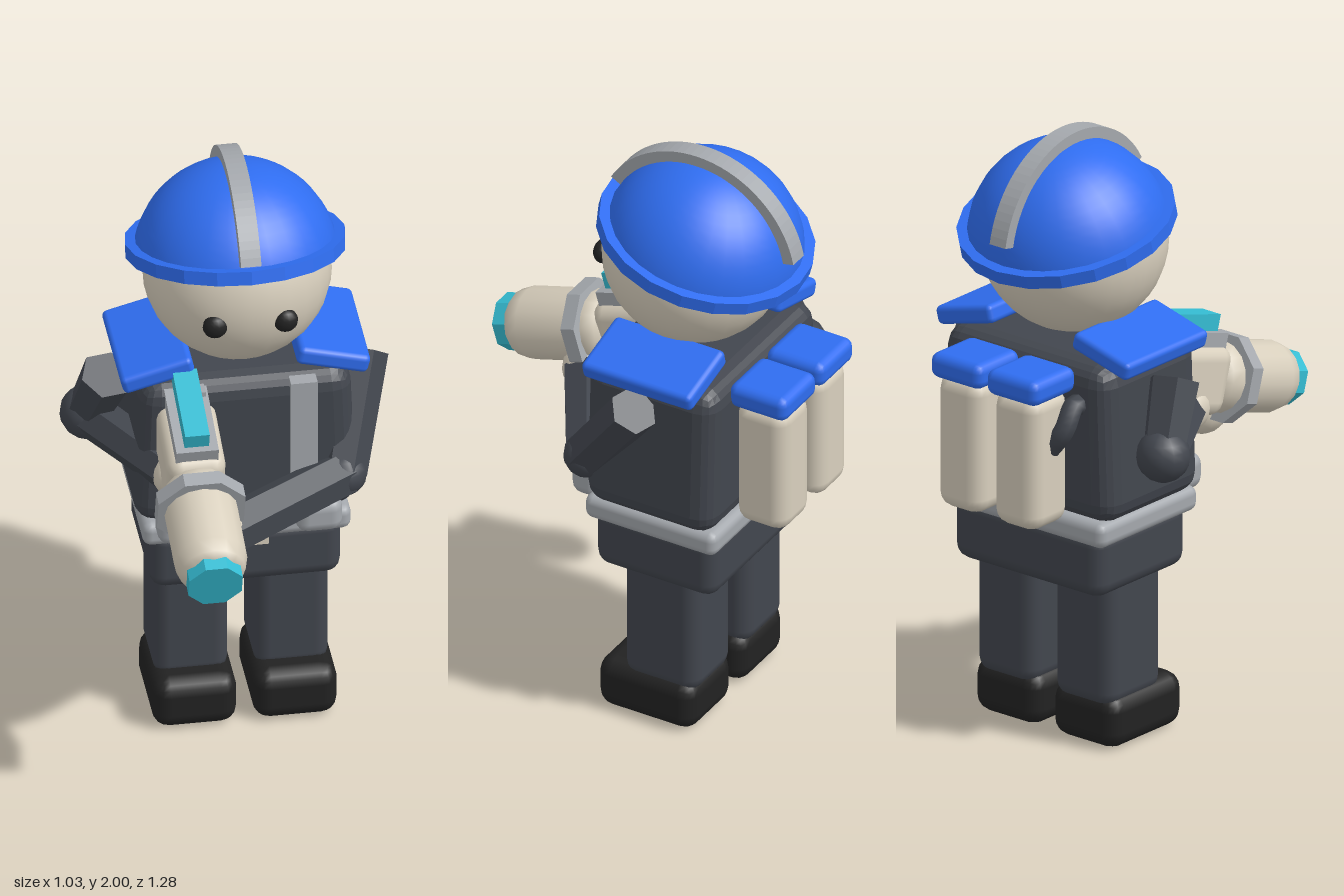
import * as THREE from 'three';
import { RoundedBoxGeometry } from 'three/addons/geometries/RoundedBoxGeometry.js';

const mat = (color, flatShading = false) => new THREE.MeshStandardMaterial({ color, flatShading });
const suit = mat(0x42464e), suitFlat = mat(0x42464e, true), blue = mat(0x2f6df0), blueFlat = mat(0x2f6df0, true);
const cream = mat(0xd8cfbd), grey = mat(0xa4a8ad), greyFlat = mat(0xa4a8ad, true);
const cyan = mat(0x35bcd2, true), black = mat(0x222222);

const CX = 0.03, CZ = -0.21; // middle of the body

export function createModel() {
  const root = new THREE.Group();

  const add = (name, geometry, material, x = 0, y = 0, z = 0, parent = root) => {
    const mesh = new THREE.Mesh(geometry, material);
    mesh.name = name;
    mesh.position.set(x, y, z);
    parent.add(mesh);
    return mesh;
  };
  const rbox = (w, h, d, r) => new RoundedBoxGeometry(w, h, d, 2, r);
  const ball = (name, r, material, x, y, z) => add(name, new THREE.SphereGeometry(r, 14, 10), material, x, y, z);

  // Straight six-sided limb between two points
  const limb = (name, a, b, r0, r1) => {
    const from = new THREE.Vector3(...a), to = new THREE.Vector3(...b);
    const dir = to.clone().sub(from);
    const mesh = add(name, new THREE.CylinderGeometry(r1, r0, dir.length(), 6), suitFlat);
    mesh.position.copy(from).add(to).multiplyScalar(0.5);
    mesh.quaternion.setFromUnitVectors(new THREE.Vector3(0, 1, 0), dir.normalize());
    return mesh;
  };

  // Torso, slightly narrower at the shoulders
  const torsoGeo = rbox(0.71, 0.53, 0.47, 0.07);
  const p = torsoGeo.attributes.position;
  for (let i = 0; i < p.count; i++) {
    const t = Math.max(0, p.getY(i) / 0.265);
    p.setX(i, p.getX(i) * (1 - 0.06 * t));
  }
  torsoGeo.computeVertexNormals();
  add('torso', torsoGeo, suit, CX, 1.065, CZ);

  // Hips, belt and buckle
  add('hips', rbox(0.61, 0.22, 0.44, 0.05), suit, CX, 0.65, CZ);
  add('belt', rbox(0.665, 0.085, 0.48, 0.03), grey, CX, 0.767, CZ);
  add('buckle', new THREE.BoxGeometry(0.125, 0.09, 0.06), cream, CX, 0.767, 0.028);

  // Paired parts
  for (const s of [-1, 1]) {
    const side = s > 0 ? 'left' : 'right';
    const x = (d) => CX + s * d;
    add(side + 'Leg', rbox(0.24, 0.46, 0.27, 0.05), suit, x(0.16), 0.37, -0.215);
    add(side + 'Boot', rbox(0.27, 0.18, 0.355, 0.055), black, x(0.16), 0.09, -0.168);
    add(side + 'Pouch', rbox(0.15, 0.12, 0.11, 0.04), grey, x(0.22), 0.83, 0.05);
    add(side + 'Strap', new THREE.BoxGeometry(0.085, 0.5, 0.05), greyFlat, x(0.178), 1.065, 0.02);
    add(side + 'ShoulderPad', rbox(0.235, 0.062, 0.4, 0.018), blue, x(0.28), 1.355, -0.2).rotation.z = -s * 0.26;
    add(side + 'Tank', rbox(0.18, 0.45, 0.185, 0.05), cream, x(0.115), 1.025, -0.537);
    add(side + 'TankCap', rbox(0.21, 0.085, 0.21, 0.03), blue, x(0.115), 1.277, -0.537);
    const eye = ball(side + 'Eye', 0.04, black, x(0.112), 1.59, 0.082);
    eye.scale.z = 0.8;
  }

  // Hose from the tank into the back
  const hosePath = new THREE.CatmullRomCurve3([
    [-0.15, 1.06, -0.52], [-0.2, 1.13, -0.51], [-0.2, 1.2, -0.46], [-0.2, 1.17, -0.39],
  ].map((v) => new THREE.Vector3(...v)));
  add('hose', new THREE.TubeGeometry(hosePath, 12, 0.035, 8), suit);

  // Head
  add('head', new THREE.SphereGeometry(0.3, 28, 20), cream, CX, 1.63, -0.19);

  // Helmet tipped back: dome, brim and crest
  const helmet = new THREE.Group();
  helmet.name = 'helmet';
  helmet.position.set(CX, 1.64, CZ);
  root.add(helmet);
  const tilt = new THREE.Group();
  tilt.name = 'helmetShell';
  tilt.rotation.x = -0.26;
  helmet.add(tilt);
  add('dome', new THREE.SphereGeometry(0.325, 28, 14, 0, Math.PI * 2, 0, 1.45), blue, 0, 0, 0, tilt);
  add('brim', new THREE.CylinderGeometry(0.35, 0.35, 0.045, 20), blueFlat, 0, 0.055, 0, tilt);
  const arc = new THREE.Shape();
  arc.absarc(0, 0, 0.36, 0.52, 2.95, false);
  arc.absarc(0, 0, 0.31, 2.95, 0.52, true);
  const crestGeo = new THREE.ExtrudeGeometry(arc, { depth: 0.065, bevelEnabled: false, curveSegments: 16 });
  add('crest', crestGeo, greyFlat, 0.0325, 0, 0, helmet).rotation.y = -Math.PI / 2;

  // Left arm reaches across to support the blaster
  const lShoulder = [0.435, 1.25, -0.2], lElbow = [0.335, 0.95, 0.03], lWrist = [-0.07, 0.935, 0.27];
  limb('leftUpperArm', lShoulder, lElbow, 0.08, 0.075);
  ball('leftElbow', 0.075, suit, ...lElbow);
  limb('leftForearm', lElbow, lWrist, 0.075, 0.08);
  ball('leftHand', 0.085, cream, -0.1, 0.945, 0.28);

  // Right arm is bent back, with the hand on the grip
  const rShoulder = [-0.385, 1.25, -0.19], rElbow = [-0.43, 1.04, -0.3], rWrist = [-0.22, 1.03, 0.05];
  limb('rightUpperArm', rShoulder, rElbow, 0.085, 0.07);
  ball('rightElbow', 0.087, suit, ...rElbow);
  limb('rightForearm', rElbow, rWrist, 0.075, 0.07);
  ball('rightHand', 0.08, cream, -0.2, 1.03, 0.08);

  // Blaster, pointing forward and down
  const blaster = new THREE.Group();
  blaster.name = 'blaster';
  blaster.position.set(-0.165, 1.06, 0.3);
  blaster.rotation.x = 0.29;
  root.add(blaster);
  const profile = [[0, -0.1], [0.07, -0.095], [0.105, -0.07], [0.117, -0.03], [0.117, 0.22], [0.105, 0.265], [0.08, 0.29], [0, 0.29]];
  const barrelGeo = new THREE.LatheGeometry(profile.map(([r, y]) => new THREE.Vector2(r, y)), 16);
  add('barrel', barrelGeo, cream, 0, 0, 0, blaster).rotation.x = Math.PI / 2;
  const ringGeo = new THREE.CylinderGeometry(0.15, 0.15, 0.05, 8).rotateY(Math.PI / 8);
  add('barrelRing', ringGeo, greyFlat, 0, 0, 0, blaster).rotation.x = Math.PI / 2;
  const muzzleGeo = new THREE.CylinderGeometry(0.092, 0.092, 0.05, 8).rotateY(Math.PI / 8);
  add('muzzle', muzzleGeo, cyan, 0, 0, 0.3, blaster).rotation.x = Math.PI / 2;
  add('receiver', rbox(0.19, 0.23, 0.3, 0.05), cream, 0, 0, -0.21, blaster);
  add('topPlate', new THREE.BoxGeometry(0.135, 0.055, 0.265), greyFlat, 0, 0.128, -0.227, blaster);
  add('energyCell', new THREE.BoxGeometry(0.078, 0.06, 0.27), cyan, 0, 0.18, -0.25, blaster);

  return root;
}
